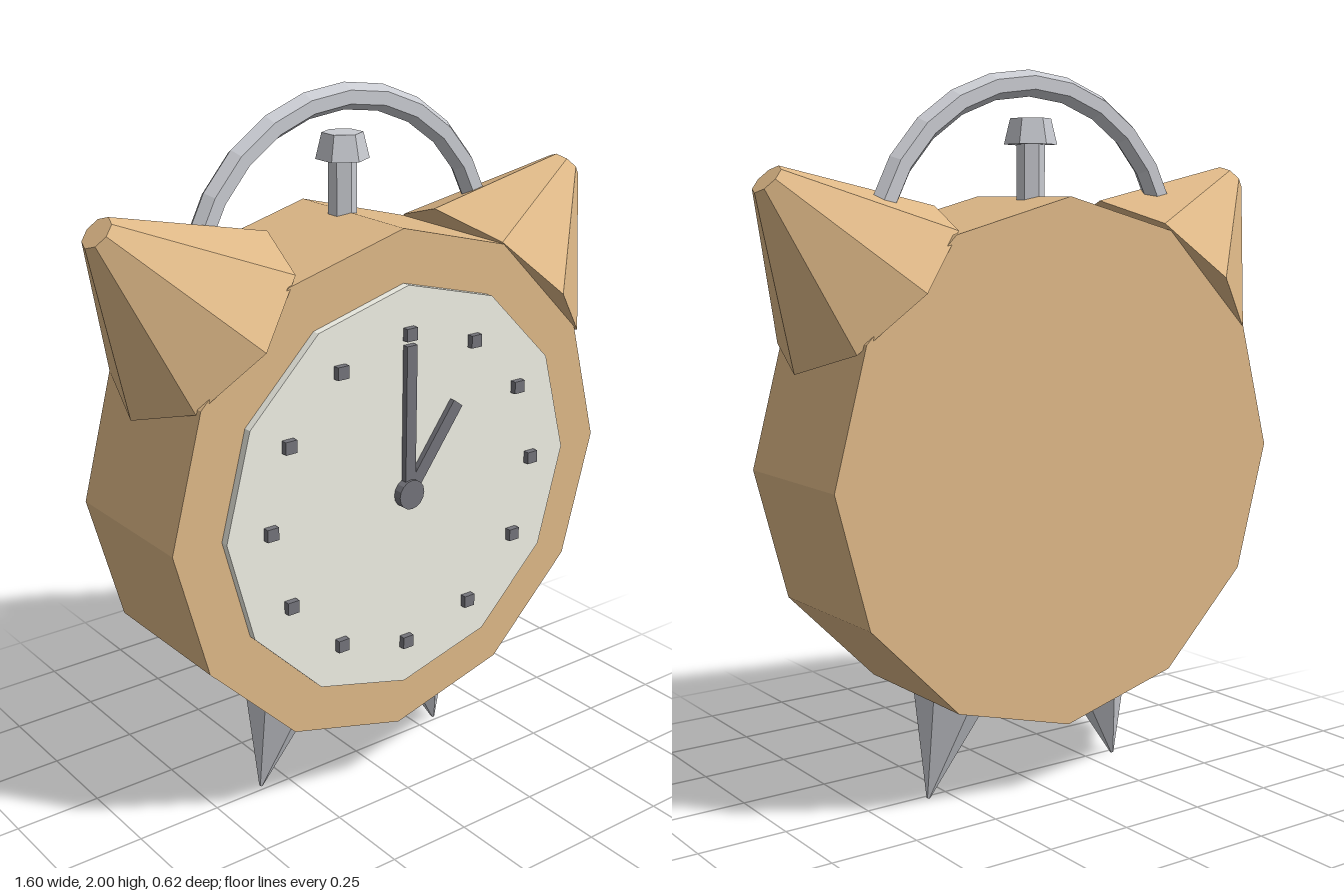
import * as THREE from 'three';

const mat = (color) => new THREE.MeshStandardMaterial({ color, flatShading: true });

export function createModel() {
  const clock = new THREE.Group();
  const tan = mat(0xdeb887), cream = mat(0xeeeee4), metal = mat(0xc8cad0), dark = mat(0x73737a);
  const CX = -0.01, CY = 0.935;

  function add(name, geometry, material, x, y, z, rotZ = 0) {
    const mesh = new THREE.Mesh(geometry, material);
    mesh.name = name;
    mesh.position.set(x, y, z);
    mesh.rotation.z = rotZ;
    clock.add(mesh);
    return mesh;
  }
  // Prism whose axis runs along z, with a corner pointing up
  const disc = (r, depth, sides) =>
    new THREE.CylinderGeometry(r, r, depth, sides).rotateX(Math.PI / 2).rotateZ(Math.PI);

  // Twelve-sided case and dial
  add('case', disc(0.725, 0.446, 12), tan, CX, CY, -0.008);
  add('dial', disc(0.58, 0.04, 12), cream, CX, CY, 0.218);

  // Hour marks
  for (let i = 0; i < 12; i++) {
    const a = (i * Math.PI) / 6;
    add('hourMark', new THREE.BoxGeometry(0.035, 0.035, 0.03), dark,
      CX + 0.45 * Math.sin(a), CY + 0.45 * Math.cos(a), 0.241);
  }

  // Hands pivot at the dial centre
  const hand = (w, len, depth) => new THREE.BoxGeometry(w, len, depth).translate(0, len / 2, 0);
  add('minuteHand', hand(0.034, 0.42, 0.02), dark, CX, CY, 0.246);
  add('hourHand', hand(0.037, 0.28, 0.02), dark, CX, CY, 0.244, -0.63);
  add('handHub', disc(0.042, 0.03, 16), dark, CX, CY, 0.248);

  // Ear-shaped bells, leaning out at 45 degrees
  const bell = new THREE.CylinderGeometry(0.048, 0.302, 0.395, 8).translate(0, 0.1975, 0);
  add('leftBell', bell, tan, 0.483, 1.422, 0.003, -Math.PI / 4);
  add('rightBell', bell, tan, -0.491, 1.435, -0.015, Math.PI / 4);

  // Arched handle with closed ends
  const R = 0.494, tube = 0.036, span = 1.232, hy = 1.47, hz = -0.048;
  const arch = new THREE.TorusGeometry(R, tube, 6, 10, 2 * span).rotateZ(Math.PI / 2 - span);
  add('handle', arch, metal, CX + 0.005, hy, hz);
  for (const s of [-1, 1]) {
    const end = add('handleEnd', new THREE.CircleGeometry(tube, 6).rotateX(Math.PI / 2), metal,
      CX + 0.005 + s * R * Math.sin(span), hy + R * Math.cos(span), hz);
    end.rotation.z = -s * span;
  }

  // Top button on a post
  add('buttonPost', new THREE.CylinderGeometry(0.039, 0.039, 0.25, 6), metal, CX, 1.69, hz);
  add('buttonCap', new THREE.CylinderGeometry(0.056, 0.073, 0.07, 6), metal, CX, 1.835, hz);

  // Pointed feet, square to the lower sides of the case
  const foot = new THREE.CylinderGeometry(0.103, 0.005, 0.285, 6).translate(0, 0.1425, 0);
  add('leftFoot', foot, metal, 0.317, 0.002, -0.017, Math.PI / 12);
  add('rightFoot', foot, metal, -0.337, 0.002, -0.017, -Math.PI / 12);

  return clock;
}
